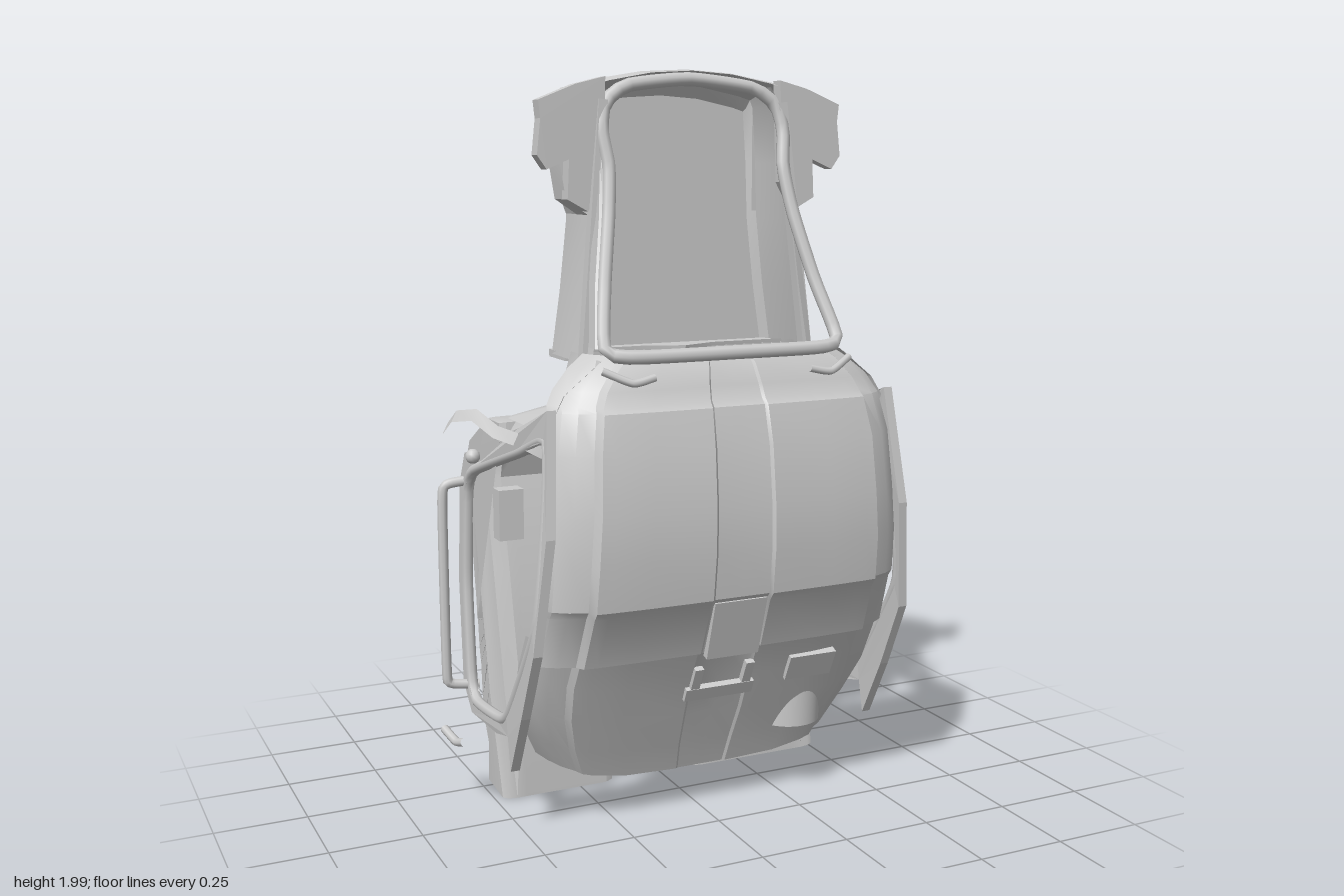
import * as THREE from 'three';
import { toCreasedNormals } from 'three/addons/utils/BufferGeometryUtils.js';

const grey = new THREE.MeshStandardMaterial({ color: 0xcccccc });
const greyBoth = new THREE.MeshStandardMaterial({ color: 0xcccccc, side: THREE.DoubleSide });

// Surface through rows of points, each row having the same length
function loft(rows, closed = false, crease = 0.5) {
  const n = rows[0].length, index = [];
  for (let i = 0; i < rows.length - 1; i++) {
    for (let j = 0; j < (closed ? n : n - 1); j++) {
      const k = (j + 1) % n, a = i * n + j, b = a + n, c = b - j + k, d = i * n + k;
      index.push(a, b, c, a, c, d);
    }
  }
  const geo = new THREE.BufferGeometry();
  geo.setAttribute('position', new THREE.Float32BufferAttribute(rows.flat(2), 3));
  geo.setIndex(index);
  return toCreasedNormals(geo, crease);
}

function add(parent, name, geo, mat = grey, pos = [0, 0, 0], rot = [0, 0, 0]) {
  const mesh = new THREE.Mesh(geo, mat);
  mesh.name = name;
  mesh.position.set(...pos);
  mesh.rotation.set(...rot);
  parent.add(mesh);
}
const box = (w, h, d) => new THREE.BoxGeometry(w, h, d);
const curve = (pts, closed = false) =>
  new THREE.CatmullRomCurve3(pts.map(p => new THREE.Vector3(...p)), closed, 'catmullrom', 0.3);
const tube = (pts, r, closed = false) => new THREE.TubeGeometry(curve(pts, closed), 72, r, 8, closed);
const points = list => list.map(p => new THREE.Vector2(...p));

// Front shell: rows of [y, z, half width], bent back towards both sides
function frontShell(group) {
  const half = [[0, -0.008], [0.15, -0.008], [0.165, 0], [0.5, -0.003], [0.7, -0.008], [0.77, -0.012],
    [0.795, -0.04], [0.88, -0.06], [0.95, -0.09], [1, -0.14]];
  const across = [...half.slice(1).reverse().map(([u, z]) => [-u, z]), ...half];
  const build = (rows, lift, k) => loft(rows.map(([y, z, w]) =>
    across.map(([u, dz]) => [u * w, y + lift * u ** 4, z + dz * k])));
  add(group, 'upperFrontShell', build([[1.28, 0.29, 0.35], [1.25, 0.315, 0.4], [1.2, 0.335, 0.45],
    [1.165, 0.348, 0.47], [1.15, 0.362, 0.475], [1.05, 0.385, 0.495], [0.9, 0.4, 0.505], [0.78, 0.4, 0.515],
    [0.66, 0.386, 0.52], [0.64, 0.37, 0.52], [0.5, 0.315, 0.53]], 0, 0.85), greyBoth);
  add(group, 'lowerFrontShell', build([[0.5, 0.3, 0.53], [0.4, 0.25, 0.535], [0.3, 0.21, 0.525],
    [0.2, 0.165, 0.49], [0.12, 0.135, 0.45]], 0.08, 0.6));
  // Fittings on the shell
  add(group, 'centreBracket', box(0.15, 0.17, 0.02), grey, [0, 0.57, 0.34], [0.3, 0, 0]);
  for (const s of [-1, 1]) {
    add(group, 'latchPost', box(0.025, 0.09, 0.025), grey, [s * 0.075, 0.41, 0.255], [0.45, 0, 0]);
    add(group, 'vent', tube([[s * 0.22, 1.23, 0.325], [s * 0.28, 1.22, 0.33], [s * 0.35, 1.25, 0.3]], 0.01));
  }
  add(group, 'latchPlate', box(0.2, 0.04, 0.02), grey, [0, 0.37, 0.24], [0.45, 0, 0]);
  add(group, 'switchBox', box(0.14, 0.08, 0.03), grey, [0.27, 0.41, 0.25], [0.45, 0, 0]);
  add(group, 'cup', new THREE.CylinderGeometry(0.095, 0.09, 0.14, 24, 1, false, -Math.PI / 2, Math.PI),
    grey, [0.28, 0.28, 0.115]);
}

// Rear pod: side outline lofted across the width, with a scoop low on the back
function rearPod(s) {
  const outline = [[-0.13, 0], [-0.26, 0.01], [-0.33, 0.07], [-0.36, 0.14], [-0.37, 0.22], [-0.36, 0.33],
    [-0.365, 0.38], [-0.36, 0.46], [-0.38, 0.7], [-0.4, 0.95], [-0.38, 0.985], [-0.1, 1.09],
    [0, 1.09], [0, 1.04], [-0.2, 0.96], [-0.22, 0.9], [-0.16, 0.65], [-0.13, 0.3]];
  const scooped = [0, 0, 0.01, 0.04, 0.065, 0.05, 0.01];
  // [x, shrink, scoop]
  const cuts = [[0.09, 0.001, 0], [0.09, 0.93, 0], [0.105, 0.98, 0], [0.13, 1, 0], [0.17, 1, 0], [0.2, 1, 0.7],
    [0.24, 1, 1], [0.36, 1, 1], [0.41, 1, 0.7], [0.44, 1, 0], [0.47, 1, 0], [0.495, 0.98, 0], [0.51, 0.92, 0],
    [0.51, 0.001, 0]];
  const rows = cuts.map(([x, k, scoop]) => outline.map(([z, y], i) => {
    const low = Math.max(0, 1 - y / 0.6);
    let dx = 0;
    if (x < 0.15) dx = (y > 0.8 && z > -0.3 ? -0.025 : 0.01) + low * (s > 0 ? 0 : 0.05);
    if (x > 0.43) dx = (z < -0.3 ? -0.03 : 0) - low * (s > 0 ? 0 : 0.03);
    const back = x > 0.45 && i > 14 && k > 0.1 ? -0.05 : 0; // clears the door opening
    return [s * (x + dx), 0.5 + (y - 0.5) * (k < 0.1 ? k : 0.9 + 0.1 * k),
      -0.24 + (z + 0.24) * k + back + scoop * (scooped[i] || 0)];
  }));
  return loft(rows, true, 0.55);
}

// Upper tower with sloping front opening
function tower(group) {
  const back = [[1.25, 0.33], [1.42, 0.305], [1.6, 0.285], [1.75, 0.28], [1.9, 0.27], [1.95, 0.25]];
  add(group, 'towerBack', loft(back.map(([y, w]) => [[-w, y, -0.1], [-w + 0.02, y, -0.12],
    [w - 0.02, y, -0.12], [w, y, -0.1]])), greyBoth);
  const arch = [-1, -0.8, -0.4, 0, 0.4, 0.8, 1];
  add(group, 'towerTop', loft([[0.08, 1.985, 0.29], [0.04, 1.99, 0.32], [-0.02, 1.97, 0.31],
    [-0.1, 1.96, 0.28], [-0.12, 1.93, 0.27]]
    .map(([z, y, w]) => arch.map(u => [u * w, y - 0.045 * u * u, z]))), greyBoth);
  add(group, 'towerLedge', box(0.66, 0.02, 0.12), grey, [0, 1.25, -0.06]);
  add(group, 'topSlot', tube([[-0.18, 1.96, -0.05], [0.18, 1.96, -0.05], [0.2, 1.96, -0.07], [0.18, 1.96, -0.09],
    [-0.18, 1.96, -0.09], [-0.2, 1.96, -0.07]], 0.006, true));
  const side = [[0.33, 1.3, 0.27], [0.3, 1.45, 0.2], [0.265, 1.62, 0.145], [0.25, 1.74, 0.115],
    [0.26, 1.83, 0.095], [0.245, 1.9, 0.08], [0.18, 1.945, 0.07]];
  const frame = [[0, 1.28, 0.31], [0.27, 1.28, 0.3], ...side, [0, 1.965, 0.06],
    ...side.map(([x, y, z]) => [-x, y, z]).reverse(), [-0.27, 1.28, 0.3]];
  add(group, 'windowFrame', tube(frame, 0.018, true));
  const depth = [0.16, 0.16, 0.14, 0.11, 0.08, 0.06];
  for (const s of [-1, 1]) {
    add(group, 'towerSide', loft(back.map(([y, w], i) => [[s * w, y, -0.1],
      [s * (w + 0.005), y, 0.02], [s * (w - 0.01), y, depth[i]]])), greyBoth);
    // Windscreen pillar, wrapping back from the frame
    add(group, 'pillar', loft(side.map(([x, y, z]) => [[s * x, y, z + 0.01], [s * (x + 0.022), y, z - 0.01],
      [s * (x + 0.02), y, z - 0.055]])), greyBoth);
    add(group, 'sidePost', box(0.025, 0.66, 0.03), grey, [s * 0.29, 1.58, 0.1], [-0.05, 0, s * 0.1]);
    // Ear with a lip and a rear web tapering into the tower
    const ear = new THREE.Shape(points([[0.25, 1.965], [0.33, 1.945], [0.43, 1.905], [0.425, 1.86], [0.435, 1.77],
      [0.41, 1.735], [0.35, 1.76], [0.355, 1.66], [0.3, 1.63], [0.26, 1.7]].map(([x, y]) => [s * x, y])));
    add(group, 'ear', new THREE.ExtrudeGeometry(ear, { depth: 0.04, bevelEnabled: false }), grey, [0, 0, 0.055]);
    add(group, 'earWeb', loft([[1.94, 0.33, 0.29], [1.85, 0.37, 0.3], [1.75, 0.365, 0.3], [1.66, 0.35, 0.3],
      [1.62, 0.29, 0.285]].map(([y, wide, narrow]) => [[s * 0.27, y, -0.1], [s * narrow, y, -0.1],
      [s * wide, y, -0.01], [s * wide, y, 0.07]])), greyBoth);
  }
}

// Shoulders between the tower, the shell and the pods: [y, front width, rear width, front z, rear z]
function shoulders(group) {
  const rows = [[1.27, 0.34, 0.33, 0.27, 0], [1.19, 0.44, 0.35, 0.27, -0.01], [1.12, 0.48, 0.38, 0.28, -0.05],
    [1.09, 0.49, 0.47, 0.285, -0.1], [1.04, 0.5, 0.5, 0.29, -0.13]];
  add(group, 'shoulders', loft(rows.map(([y, wf, wr, f, b]) => {
    const flank = [[wr * 0.95, y, b], [wr, y, b + 0.04], [wr, y, 0.13], [(wf + wr) / 2, y, 0.2], [wf, y, f]];
    return [...flank.map(([x, h, z]) => [-x, h, z]).reverse(), [-0.1, y, b], [0, y, b + 0.04], [0.1, y, b], ...flank];
  })), greyBoth);
}

// Door surround, grab rail, mirror arm and step of one side
function sideParts(group, s) {
  // The door plane leans out towards the base, and less so at the rear
  const doorX = (y, z) => {
    const lean = 0.48 + 0.055 * Math.min(1, Math.max(0, (1.12 - y) / 0.6));
    return THREE.MathUtils.lerp(0.52, lean, THREE.MathUtils.smoothstep(z, -0.15, 0.15));
  };
  const outer = points([[0.29, 1.16], [0.1, 1.09], [-0.25, 0.97], [-0.3, 0.88], [-0.33, 0.6], [-0.31, 0.3],
    [-0.24, 0.23], [0, 0.25], [0.11, 0.28], [0.13, 0.19], [0.22, 0.36], [0.31, 0.55], [0.34, 0.85]]);
  const opening = [[0.27, 1.08], [0.1, 1.03], [-0.2, 0.93], [-0.26, 0.86], [-0.29, 0.6], [-0.27, 0.32],
    [-0.22, 0.265], [0, 0.29], [0.1, 0.34], [0.29, 0.62], [0.3, 0.88]];
  const shape = new THREE.Shape(outer);
  shape.holes.push(new THREE.Path(points(opening)));
  const geo = new THREE.ExtrudeGeometry(shape, { depth: 0.025, bevelEnabled: false });
  geo.rotateY(-Math.PI / 2); // outline z now runs along world z
  const pos = geo.attributes.position;
  for (let i = 0; i < pos.count; i++) {
    pos.setX(i, pos.getX(i) + s * doorX(pos.getY(i), pos.getZ(i)) + 0.0125);
  }
  geo.computeVertexNormals();
  add(group, 'doorSurround', geo);
  add(group, 'doorSeal', tube(opening.map(([z, y]) => [s * doorX(y, z), y, z]), 0.016, true));
  add(group, 'grabRail', tube([[s * 0.5, 0.3, -0.27], [s * 0.58, 0.31, -0.28], [s * 0.59, 0.36, -0.28],
    [s * 0.59, 0.83, -0.28], [s * 0.575, 0.88, -0.28], [s * 0.5, 0.89, -0.27]], 0.014));
  add(group, 'mirrorArm', loft([[0.52, 1.05, 0.12], [0.55, 1.06, 0.05], [0.59, 1.1, 0], [0.625, 1.09, -0.06],
    [0.635, 1.05, -0.11]].map(([x, y, z]) => [[s * x, y, z], [s * (x - 0.015), y + 0.03, z]])), greyBoth);
  add(group, 'hinge', new THREE.SphereGeometry(0.02, 12, 8), grey, [s * 0.56, 0.99, -0.09]);
  add(group, 'stepBracket', tube([[s * 0.6, 0.2, -0.1], [s * 0.61, 0.19, -0.14], [s * 0.625, 0.21, -0.2]], 0.012));
  add(group, 'seat', box(0.16, 0.05, 0.14), grey, [s * 0.28, 0.36, -0.06], [0.2, 0, 0]);
  add(group, 'seatLever', box(0.08, 0.1, 0.08), grey, [s * 0.3, 0.4, 0.01], [0.5, 0, 0]);
  add(group, 'sideBox', box(0.07, 0.14, 0.05), grey, [s * 0.44, 0.81, -0.16]);
}

// Board behind the windscreen with the spoked wheel
function dashboard(group) {
  add(group, 'dashboard', box(0.62, 0.13, 0.03), grey, [0, 1.15, 0.12], [-0.15, 0, 0]);
  add(group, 'dashboardBox', box(0.15, 0.06, 0.06), grey, [0, 1.13, 0.09]);
  const wheel = [-0.17, 1.2, 0.15];
  add(group, 'wheelRim', new THREE.TorusGeometry(0.065, 0.008, 8, 28), grey, wheel);
  for (let i = 0; i < 3; i++) {
    add(group, 'wheelSpoke', box(0.13, 0.01, 0.008), grey, wheel, [0, 0, i * Math.PI / 3]);
  }
}

export function createModel() {
  const model = new THREE.Group();
  model.name = 'cabin';
  frontShell(model);
  shoulders(model);
  tower(model);
  dashboard(model);
  for (const s of [-1, 1]) {
    add(model, s > 0 ? 'leftRearPod' : 'rightRearPod', rearPod(s), greyBoth);
    sideParts(model, s);
  }
  add(model, 'rearVent', new THREE.CylinderGeometry(0.05, 0.05, 0.12, 20), grey, [0, 1.0, -0.13]);
  return model;
}
